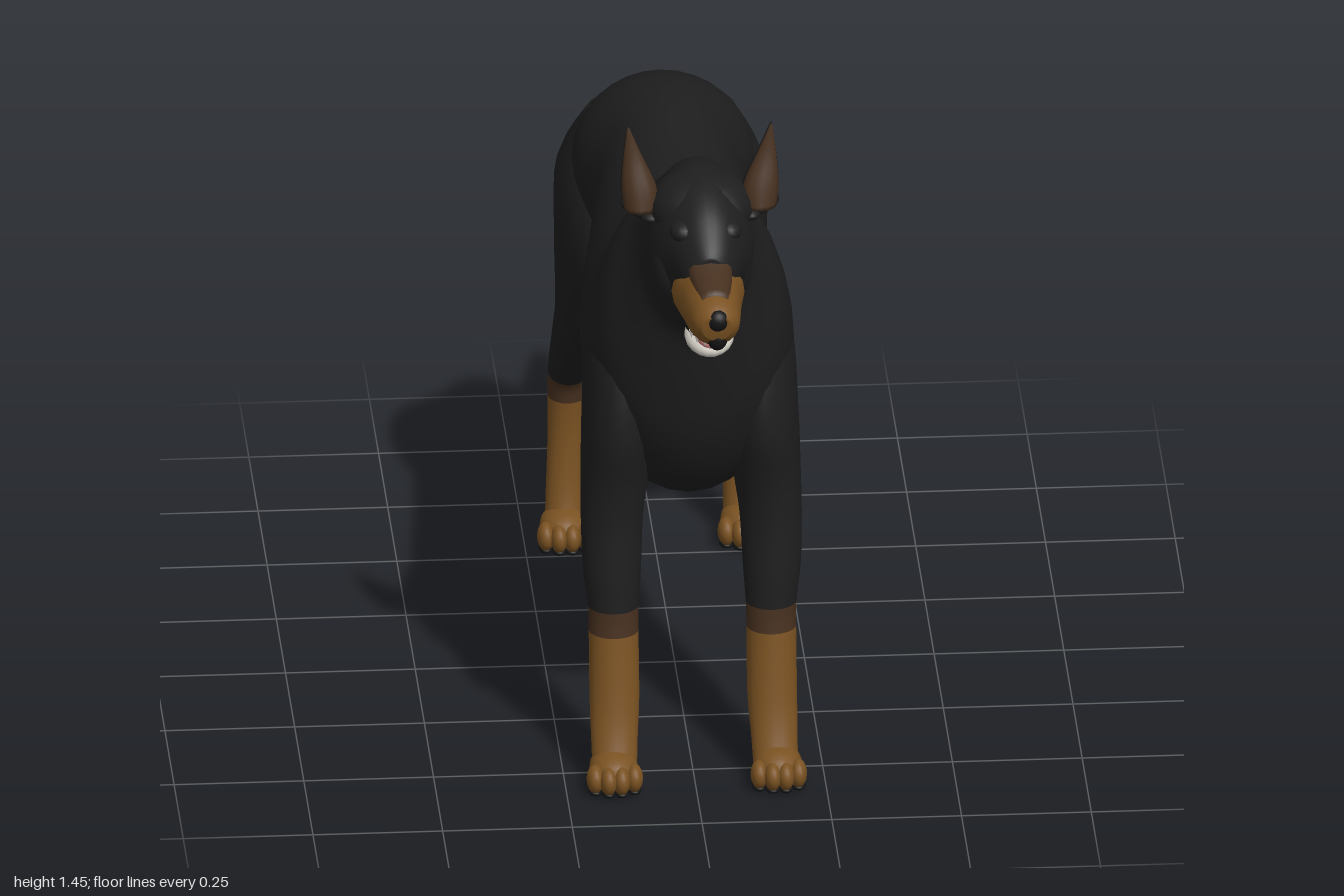
import * as THREE from 'three';

const mat = (name, color) => Object.assign(new THREE.MeshStandardMaterial({ color }), { name });
const black = mat('black coat', 0x1e1e1f);
const tan = mat('tan', 0x7a5222);
const brown = mat('dark brown', 0x46301f);
const white = mat('ivory', 0xd6d2c8);
const pink = mat('tongue pink', 0xb56f70);
const dark = mat('nose and pads', 0x141414);

// Smooth skin through elliptical rings [x, y1, z1, y2, z2, halfWidth].
// Point 1 is the top (rings run forward) or the front (rings run down).
// ids gives the material index of each span between rings.
function loft(name, rings, materials, ids = [], sides = 24, steps = 4) {
  const pos = [], index = [], geo = new THREE.BufferGeometry();
  const at = i => rings[Math.max(0, Math.min(rings.length - 1, i))];
  const rows = [];
  for (let i = 0; i < rings.length - 1; i++)
    for (let s = 0; s < steps; s++) {
      const t = s / steps;
      rows.push(at(i).map((b, k) => {
        const a = at(i - 1)[k], c = at(i + 1)[k], d = at(i + 2)[k];
        return b + 0.5 * t * (c - a + t * (2 * a - 5 * b + 4 * c - d + t * (3 * (b - c) + d - a)));
      }));
    }
  rows.push(at(rings.length - 1));
  rows.forEach(([x, y1, z1, y2, z2, w]) => {
    for (let j = 0; j < sides; j++) {
      const t = j / sides * Math.PI * 2, c = Math.cos(t) / 2;
      pos.push(x + Math.sin(t) * w, (y1 + y2) / 2 + c * (y1 - y2), (z1 + z2) / 2 + c * (z1 - z2));
    }
  });
  const cap = ([x, y1, z1, y2, z2]) => pos.push(x, (y1 + y2) / 2, (z1 + z2) / 2) / 3 - 1;
  const first = cap(rows[0]), last = cap(rows[rows.length - 1]);
  const end = rows.length - 1;
  for (let i = 0; i < end; i++) {
    const start = index.length;
    for (let j = 0; j < sides; j++) {
      const k = (j + 1) % sides, p = i * sides, q = p + sides;
      if (i === 0) index.push(first, j, k);
      index.push(p + j, q + j, p + k, p + k, q + j, q + k);
      if (i === end - 1) index.push(last, q + k, q + j);
    }
    geo.addGroup(start, index.length - start, ids[Math.floor(i / steps)] || 0);
  }
  geo.setAttribute('position', new THREE.Float32BufferAttribute(pos, 3));
  geo.setIndex(index);
  geo.computeVertexNormals();
  const mesh = new THREE.Mesh(geo, materials);
  mesh.name = name;
  return mesh;
}

// Ellipsoid
function blob(name, material, p, r, tilt = 0) {
  const m = new THREE.Mesh(new THREE.SphereGeometry(1, 18, 12), material);
  m.name = name;
  m.position.set(...p);
  m.scale.set(...r);
  m.rotation.x = tilt;
  return m;
}

// Paw with four toes and dark pads; z is the ankle
function paw(name, x, z) {
  const g = new THREE.Group();
  g.name = name;
  g.add(blob('pawBody', tan, [x, 0.042, z + 0.025], [0.047, 0.036, 0.06]));
  for (let i = 0; i < 4; i++) {
    const o = i - 1.5, out = 0.012 * (1.5 - Math.abs(o));
    g.add(blob('toe', tan, [x + o * 0.025, 0.034, z + 0.06 + out], [0.017, 0.028, 0.029]));
    g.add(blob('toePad', dark, [x + o * 0.025, 0.008, z + 0.058 + out], [0.014, 0.008, 0.02]));
  }
  g.add(blob('heelPad', dark, [x, 0.01, z + 0.01], [0.034, 0.01, 0.035]));
  return g;
}

export function createModel() {
  const dog = new THREE.Group();
  dog.name = 'dog';

  // Trunk, neck and skull in one skin
  dog.add(loft('body', [
    [0, 0.97, -0.535, 0.86, -0.545, 0.04],
    [0, 1.0, -0.5, 0.76, -0.525, 0.11],
    [0, 1.06, -0.42, 0.73, -0.41, 0.165],
    [0, 1.098, -0.3, 0.74, -0.28, 0.175],
    [0, 1.105, -0.16, 0.715, -0.16, 0.147],
    [0, 1.09, 0, 0.655, -0.02, 0.165],
    [0, 1.09, 0.14, 0.585, 0.11, 0.188],
    [0, 1.105, 0.25, 0.535, 0.23, 0.2],
    [0, 1.135, 0.33, 0.53, 0.36, 0.203],
    [0, 1.19, 0.39, 0.59, 0.48, 0.198],
    [0, 1.245, 0.45, 0.71, 0.56, 0.175],
    [0, 1.29, 0.51, 0.85, 0.6, 0.132],
    [0, 1.322, 0.56, 0.96, 0.625, 0.108],
    [0, 1.345, 0.61, 1.02, 0.67, 0.1],
    [0, 1.357, 0.675, 1.05, 0.735, 0.102],
    [0.003, 1.345, 0.74, 1.075, 0.77, 0.092],
    [0.006, 1.315, 0.8, 1.12, 0.805, 0.072],
    [0.008, 1.27, 0.85, 1.14, 0.85, 0.05],
    [0.008, 1.245, 0.87, 1.15, 0.87, 0.03],
  ], [black], [], 32));
  dog.add(blob('skull', black, [0.002, 1.278, 0.69], [0.102, 0.074, 0.1]));
  dog.add(blob('bellySheath', black, [0, 0.69, -0.125], [0.03, 0.03, 0.075], 0.5));

  // Tail, from tip to root
  dog.add(loft('tail', [
    [0.022, 0.58, -1, 0.57, -1, 0.006],
    [0.021, 0.598, -0.95, 0.562, -0.945, 0.021],
    [0.019, 0.63, -0.84, 0.568, -0.825, 0.031],
    [0.016, 0.69, -0.745, 0.618, -0.7, 0.037],
    [0.012, 0.785, -0.675, 0.72, -0.615, 0.042],
    [0.008, 0.89, -0.63, 0.84, -0.55, 0.047],
    [0.004, 0.97, -0.575, 0.89, -0.51, 0.055],
    [0, 1.025, -0.48, 0.9, -0.45, 0.06],
    [0, 1.03, -0.4, 0.92, -0.38, 0.04],
  ], [black], [], 18));

  // Muzzle, bridge, nose and mouth
  dog.add(loft('muzzle', [
    [0.006, 1.185, 0.775, 1.12, 0.775, 0.045],
    [0.007, 1.215, 0.81, 1.092, 0.8, 0.07],
    [0.008, 1.225, 0.87, 1.088, 0.87, 0.06],
    [0.01, 1.212, 0.93, 1.094, 0.925, 0.052],
    [0.012, 1.197, 0.972, 1.11, 0.965, 0.044],
    [0.012, 1.18, 0.994, 1.128, 0.985, 0.028],
  ], [tan], [], 20));
  dog.add(loft('muzzleBridge', [
    [0.008, 1.247, 0.855, 1.19, 0.855, 0.042],
    [0.009, 1.232, 0.885, 1.18, 0.88, 0.04],
    [0.011, 1.21, 0.95, 1.17, 0.95, 0.028],
  ], [brown], [], 14));
  dog.add(blob('nose', dark, [0.014, 1.168, 0.98], [0.022, 0.022, 0.02]));
  dog.add(blob('upperLip', dark, [0.014, 1.125, 0.967], [0.02, 0.025, 0.02]));
  dog.add(blob('mouthLining', dark, [0.008, 1.098, 0.82], [0.05, 0.018, 0.07], 0.15));
  dog.add(blob('lowerJaw', white, [0.008, 1.069, 0.827], [0.048, 0.027, 0.062], 0.25));
  dog.add(blob('tongue', pink, [0.01, 1.084, 0.85], [0.032, 0.014, 0.048], 0.25));
  for (let i = 0; i < 9; i++) {
    const t = (i / 8 - 0.5) * Math.PI;
    const tooth = new THREE.Mesh(new THREE.ConeGeometry(0.006, 0.018, 6), white);
    tooth.name = 'upperTooth';
    tooth.rotation.x = Math.PI;
    tooth.position.set(0.01 + Math.sin(t) * 0.042, 1.09, 0.84 + Math.cos(t) * 0.075);
    dog.add(tooth);
  }

  for (const s of [-1, 1]) {
    const side = s > 0 ? 'left' : 'right';

    // Ear: black shell with a brown inner face and a tuft at its root
    const ear = (name, f, b, k, m) => loft(name, [
      [s * 0.138, 1.445, 0.68 + f, 1.445, 0.675 + b, 0.002],
      [s * 0.129, 1.385, 0.69 + f, 1.385, 0.667 + b, 0.019 * k],
      [s * 0.118, 1.325, 0.71 + f, 1.325, 0.655 + b, 0.035 * k],
      [s * 0.114, 1.28, 0.722 + f, 1.28, 0.65 + b, 0.034 * k],
    ], [m], [], 14);
    dog.add(ear(side + 'Ear', 0, 0, 1, black));
    dog.add(ear(side + 'EarInside', 0.007, 0.011, 0.97, brown));
    for (let i = 0; i < 3; i++)
      dog.add(blob(side + 'EarTuft', black, [s * (0.132 - i * 0.018), 1.283 - i * 0.008, 0.67 + i * 0.012], [0.022, 0.014, 0.036]));
    dog.add(blob(side + 'Brow', black, [s * 0.044 + 0.004, 1.273, 0.79], [0.026, 0.022, 0.034]));
    dog.add(blob(side + 'Eye', dark, [s * 0.05 + 0.005, 1.25, 0.805], [0.011, 0.009, 0.014]));
    dog.add(blob(side + 'Cheek', black, [s * 0.06, 1.175, 0.725], [0.038, 0.075, 0.065]));

    // Front leg with shoulder
    dog.add(loft(side + 'FrontLeg', [
      [s * 0.115, 1.06, 0.42, 1.04, 0.34, 0.03],
      [s * 0.132, 0.9, 0.515, 0.88, 0.28, 0.065],
      [s * 0.138, 0.73, 0.55, 0.72, 0.28, 0.071],
      [s * 0.147, 0.61, 0.528, 0.59, 0.35, 0.065],
      [s * 0.153, 0.52, 0.52, 0.52, 0.385, 0.06],
      [s * 0.154, 0.42, 0.525, 0.42, 0.415, 0.056],
      [s * 0.152, 0.345, 0.528, 0.345, 0.43, 0.049],
      [s * 0.152, 0.295, 0.532, 0.295, 0.438, 0.048],
      [s * 0.152, 0.17, 0.552, 0.16, 0.465, 0.048],
      [s * 0.154, 0.1, 0.57, 0.085, 0.505, 0.045],
      [s * 0.155, 0.04, 0.595, 0.03, 0.525, 0.043],
    ], [black, brown, tan], [0, 0, 0, 0, 0, 0, 1, 2, 2, 2], 20));
    dog.add(paw(side + 'FrontPaw', s * 0.158, 0.544));

    // Hind leg with thigh and hock
    dog.add(loft(side + 'HindLeg', [
      [s * 0.1, 1.02, -0.3, 1.0, -0.44, 0.04],
      [s * 0.12, 0.88, -0.23, 0.88, -0.54, 0.08],
      [s * 0.127, 0.74, -0.225, 0.73, -0.555, 0.078],
      [s * 0.135, 0.59, -0.315, 0.57, -0.54, 0.065],
      [s * 0.15, 0.475, -0.41, 0.48, -0.57, 0.052],
      [s * 0.16, 0.395, -0.49, 0.405, -0.62, 0.043],
      [s * 0.163, 0.34, -0.545, 0.35, -0.656, 0.039],
      [s * 0.165, 0.295, -0.56, 0.295, -0.648, 0.037],
      [s * 0.168, 0.2, -0.565, 0.2, -0.633, 0.035],
      [s * 0.171, 0.1, -0.555, 0.1, -0.622, 0.036],
      [s * 0.172, 0.035, -0.535, 0.025, -0.612, 0.038],
    ], [black, brown, tan], [0, 0, 0, 0, 0, 0, 1, 2, 2, 2], 20));
    dog.add(paw(side + 'HindPaw', s * 0.174, -0.582));
  }
  return dog;
}
